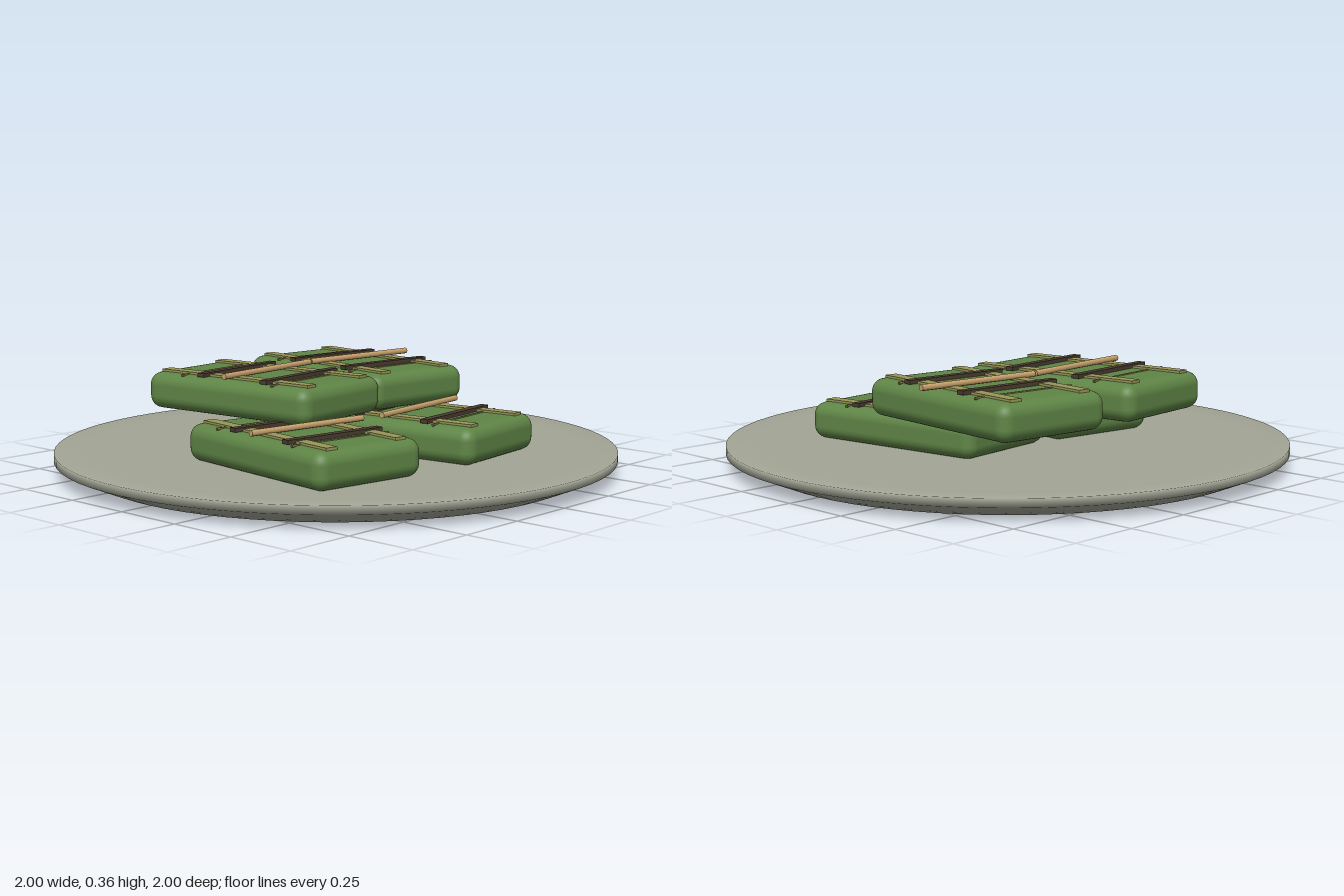
import * as THREE from 'three';
import { RoundedBoxGeometry } from 'three/addons/geometries/RoundedBoxGeometry.js';

const material = (name, color) => {
  const m = new THREE.MeshStandardMaterial({ color });
  m.name = name;
  return m;
};

export function createModel() {
  const stone = material('plate grey', 0xa3a596);
  const leaf = material('leaf green', 0x5f8546);
  const olive = material('leaf strip olive', 0x989758);
  const dark = material('dark cord brown', 0x4a3b2f);
  const vein = material('thin cord brown', 0x75683a);
  const wood = material('skewer tan', 0xc8a26c);

  const model = new THREE.Group();
  model.name = 'plateOfLeafParcels';

  const add = (parent, name, geometry, mat, x, y, z) => {
    const mesh = new THREE.Mesh(geometry, mat);
    mesh.name = name;
    mesh.position.set(x, y, z);
    parent.add(mesh);
    return mesh;
  };

  // Round plate with a shallow rim
  const profile = [[0, 0], [0.88, 0], [1, 0.05], [1, 0.08], [0.89, 0.072], [0, 0.072]]
    .map(([r, y]) => new THREE.Vector2(r, y));
  add(model, 'plate', new THREE.LatheGeometry(profile, 72), stone, 0, 0, 0);

  // Shared parcel geometry
  const W = 0.445, H = 0.13, L = 0.735;
  const bodyGeo = new RoundedBoxGeometry(W, H, L, 4, 0.045);
  const stripGeo = new THREE.BoxGeometry(0.046, 0.012, 0.67);
  const cordGeo = new THREE.BoxGeometry(0.4, 0.014, 0.03);
  const threadGeo = new THREE.CylinderGeometry(0.005, 0.005, 0.41, 6).rotateZ(Math.PI / 2);
  const skewerGeo = new THREE.CylinderGeometry(0.011, 0.011, 0.48, 8).rotateZ(Math.PI / 2);

  // One tied parcel: body, two long strips, cords and a skewer across
  const addParcel = (name, x, y, z, turn) => {
    const parcel = new THREE.Group();
    parcel.name = name;
    parcel.position.set(x, y, z);
    parcel.rotation.y = turn;
    model.add(parcel);
    add(parcel, 'parcelBody', bodyGeo, leaf, 0, H / 2, 0);
    for (const side of [-1, 1]) {
      add(parcel, 'leafStrip', stripGeo, olive, side * 0.145, H + 0.002, 0);
      add(parcel, 'thinCord', threadGeo, vein, 0, H - 0.001, side * 0.205);
    }
    for (const cz of [-0.122, 0.165]) add(parcel, 'darkCord', cordGeo, dark, 0, H + 0.007, cz);
    add(parcel, 'skewer', skewerGeo, wood, 0.025, H + 0.014, 0);
  };

  addParcel('lowerRightParcel', -0.355, 0.07, 0.175, -0.135);
  addParcel('lowerLeftParcel', 0.205, 0.07, 0.2, 0.12);
  addParcel('upperRightParcel', -0.155, 0.203, -0.21, 0.095);
  addParcel('upperLeftParcel', 0.333, 0.203, -0.215, -0.11);

  return model;
}
